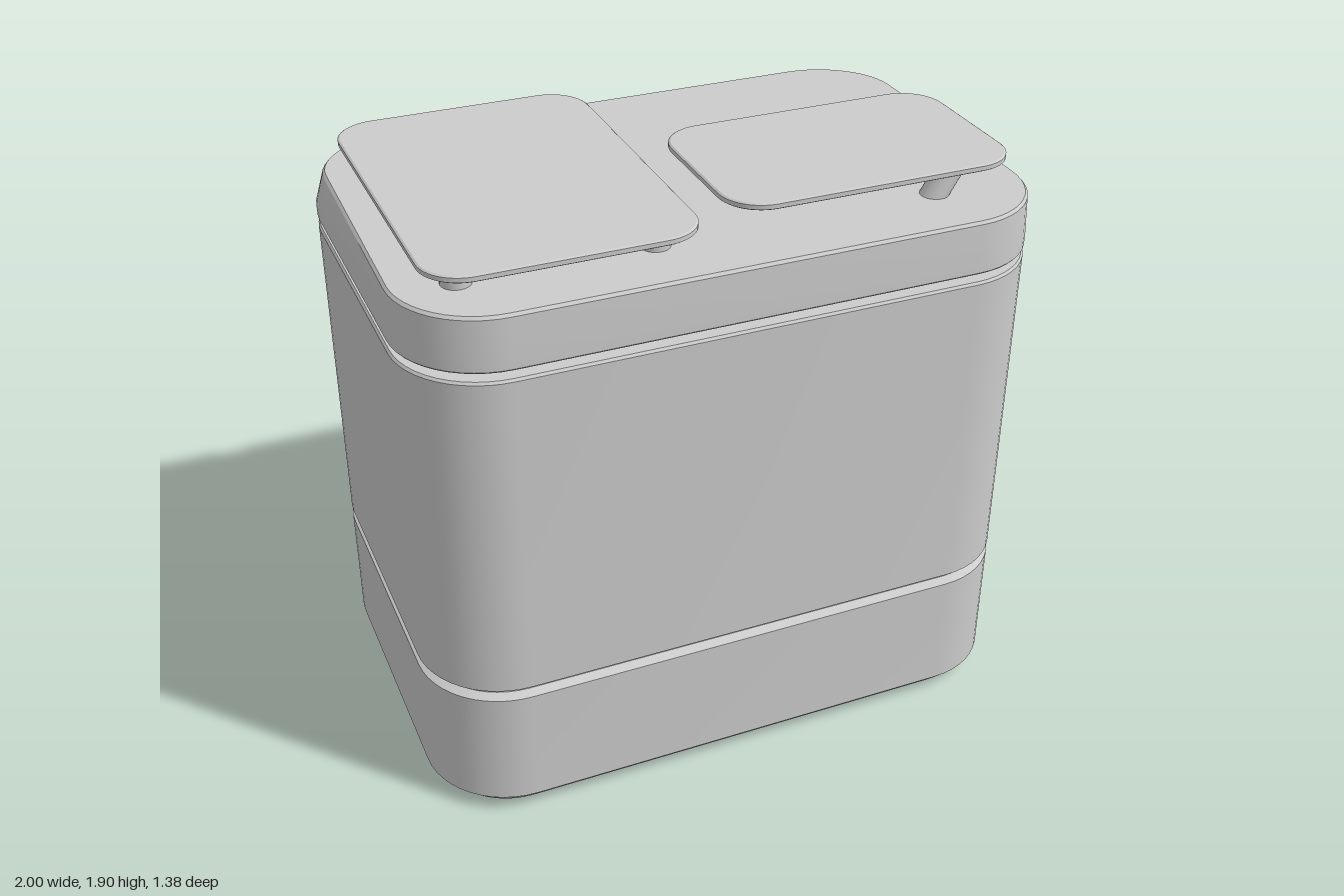
import * as THREE from 'three';
import { toCreasedNormals } from 'three/addons/utils/BufferGeometryUtils.js';

const grey = new THREE.MeshStandardMaterial({ color: 0xcccccc });
const olive = new THREE.MeshStandardMaterial({ color: 0x8f8a5a });
const green = new THREE.MeshStandardMaterial({ color: 0x88dda0 });

// Rounded rectangle as a list of [x, z], running from +x towards +z
function roundedRect(hx, hz, r, steps = 12) {
  const pts = [];
  const corners = [[1, 1], [-1, 1], [-1, -1], [1, -1]];
  corners.forEach(([sx, sz], q) => {
    for (let i = 0; i <= steps; i++) {
      const a = (q + i / steps) * Math.PI / 2;
      pts.push([sx * (hx - r) + r * Math.cos(a), sz * (hz - r) + r * Math.sin(a)]);
    }
  });
  return pts;
}

// Stack of rounded-rectangle rings, profile = [inset, y], capped at both ends
function loft(hx, hz, r, profile, warp = (p) => p) {
  const pos = [], idx = [];
  let n = 0;
  profile.forEach(([inset, y], level) => {
    const ring = roundedRect(hx - inset, hz - inset, r - inset);
    n = ring.length;
    ring.forEach(([x, z]) => pos.push(...warp([x, y, z], level)));
  });
  const last = profile.length - 1;
  const bottom = pos.length / 3, top = bottom + 1;
  pos.push(0, profile[0][1], 0, ...warp([0, profile[last][1], 0], last));
  for (let j = 0; j < n; j++) {
    const k = (j + 1) % n;
    for (let i = 0; i < last; i++) {
      const a = i * n + j, b = i * n + k;
      idx.push(a, a + n, b, b, a + n, b + n);
    }
    idx.push(bottom, j, k, top, last * n + k, last * n + j);
  }
  const g = new THREE.BufferGeometry();
  g.setAttribute('position', new THREE.Float32BufferAttribute(pos, 3));
  g.setIndex(idx);
  return toCreasedNormals(g, 0.45);
}

function add(parent, name, geometry, material, x = 0, y = 0, z = 0) {
  const mesh = new THREE.Mesh(geometry, material);
  mesh.name = name;
  mesh.position.set(x, y, z);
  parent.add(mesh);
  return mesh;
}

export function createModel() {
  const model = new THREE.Group();
  model.name = 'applianceWithTrays';

  // Housing with bevelled foot, V groove and a recessed neck under the lid
  add(model, 'housing', loft(1, 0.69, 0.28, [
    [0.05, 0], [0, 0.055], [0, 0.455], [0.025, 0.47], [0.025, 0.48], [0, 0.495],
    [0, 1.575], [0.006, 1.583], [0.05, 1.583], [0.05, 1.62],
  ]), grey);

  // Lid: the rear is pulled in at the top to form a sloping control panel
  add(model, 'lid', loft(1, 0.69, 0.28, [
    [0.004, 1.61], [0, 1.615], [0, 1.65], [0.006, 1.775], [0.014, 1.784],
  ], ([x, y, z], level) => {
    if (level < 3) return [x, y, z];
    const back = Math.max(0, -z / 0.69);
    return [x * (1 - 0.02 * back), y - 0.006 * z, z < 0 ? z * 0.868 : z];
  }), grey);

  // Trays on top and their posts
  const tray = (name, x, y, z, hx, hz) => add(model, name,
    loft(hx, hz, 0.13, [[0.006, 0], [0, 0.004], [0, 0.018], [0.006, 0.022]]), grey, x, y, z);
  tray('largeTray', -0.515, 1.854, 0.052, 0.405, 0.563);
  tray('smallTray', 0.445, 1.88, 0.27, 0.465, 0.3);

  for (const x of [-0.805, -0.22])
    for (const z of [0.46, -0.38])
      add(model, 'largeTrayPost', new THREE.CylinderGeometry(0.045, 0.045, 0.085, 24), grey, x, 1.815, z);

  const slanted = new THREE.CylinderGeometry(0.045, 0.045, 0.12, 24);
  slanted.applyMatrix4(new THREE.Matrix4().makeShear(0, 0, 0.6, 0, 0, 0));
  const sp = slanted.attributes.position;
  const shear = sp.getX(0) - sp.getX(sp.count - 1);
  if (Math.abs(shear) < 0.001) slanted.computeVertexNormals();
  for (const z of [0.46, 0.105])
    add(model, 'smallTrayPost', slanted, grey, 0.71, 1.825, z);

  // Control panel: local y points out of the slope, local z up along it
  const panel = new THREE.Group();
  panel.name = 'controlPanel';
  panel.position.set(0, 1.714, -0.645);
  panel.rotation.x = -0.933;
  model.add(panel);

  add(panel, 'display', new THREE.BoxGeometry(0.445, 0.02, 0.115), green, 0.01, 0, 0);

  const key = new THREE.BoxGeometry(0.074, 0.025, 0.063);
  for (let c = 0; c < 5; c++)
    for (const z of [-0.034, 0.034])
      add(panel, 'key', key, olive, -0.71 + c * 0.078, 0, z);

  const ball = new THREE.SphereGeometry(1, 20, 14);
  for (let c = 0; c < 3; c++)
    for (const z of [-0.032, 0.032])
      add(panel, 'roundButton', ball, olive, 0.375 + c * 0.065, 0.002, z).scale.set(0.027, 0.016, 0.027);
  add(panel, 'knob', ball, olive, 0.605, 0.005, 0).scale.set(0.046, 0.035, 0.046);

  return model;
}
